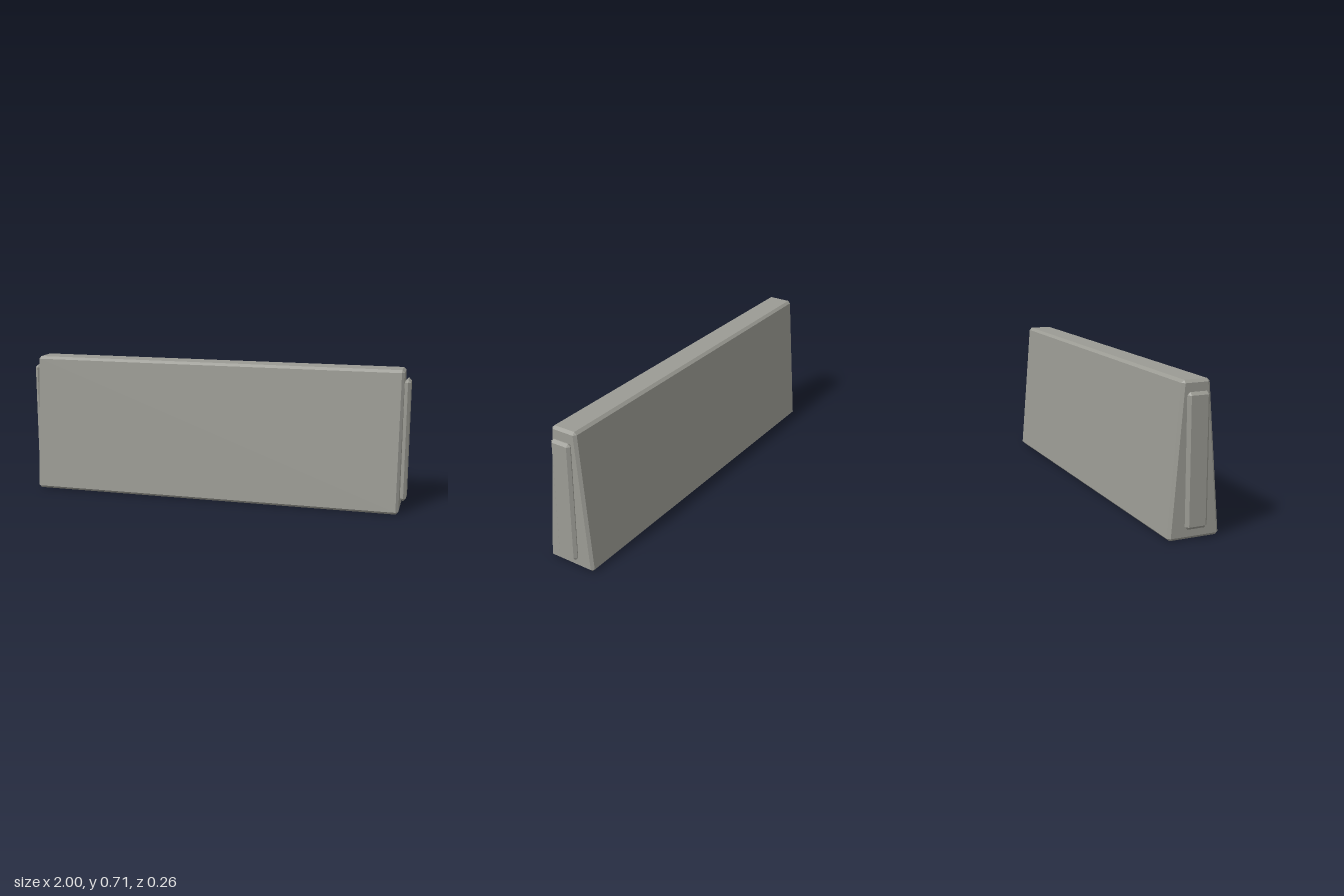
import * as THREE from 'three';
import { ConvexGeometry } from 'three/addons/geometries/ConvexGeometry.js';

// Chamfered block between x0..x1 and y0..y1; half depth runs from zBottom to zTop
function chamferedBlock(x0, x1, y0, y1, zBottom, zTop, c) {
  const points = [];
  for (const [x, sx] of [[x0, 1], [x1, -1]]) {
    for (const [y, sy, z] of [[y0, 1, zBottom], [y1, -1, zTop]]) {
      for (const side of [1, -1]) {
        points.push(
          new THREE.Vector3(x, y + sy * c, side * (z - c)),
          new THREE.Vector3(x + sx * c, y, side * (z - c)),
          new THREE.Vector3(x + sx * c, y + sy * c, side * z)
        );
      }
    }
  }
  return new ConvexGeometry(points);
}

export function createModel() {
  const group = new THREE.Group();
  const concrete = new THREE.MeshStandardMaterial({ color: 0x9b9b94 });
  concrete.name = 'concrete';

  const add = (name, geometry) => {
    const mesh = new THREE.Mesh(geometry, concrete);
    mesh.name = name;
    group.add(mesh);
  };

  // Tapered wall slab
  add('barrierBody', chamferedBlock(-0.97, 0.97, 0, 0.715, 0.128, 0.069, 0.013));

  // Raised connector pad on each end
  add('leftEndPad', chamferedBlock(0.97, 1, 0.052, 0.665, 0.054, 0.054, 0.013));
  add('rightEndPad', chamferedBlock(-1, -0.97, 0.052, 0.665, 0.054, 0.054, 0.013));

  return group;
}
